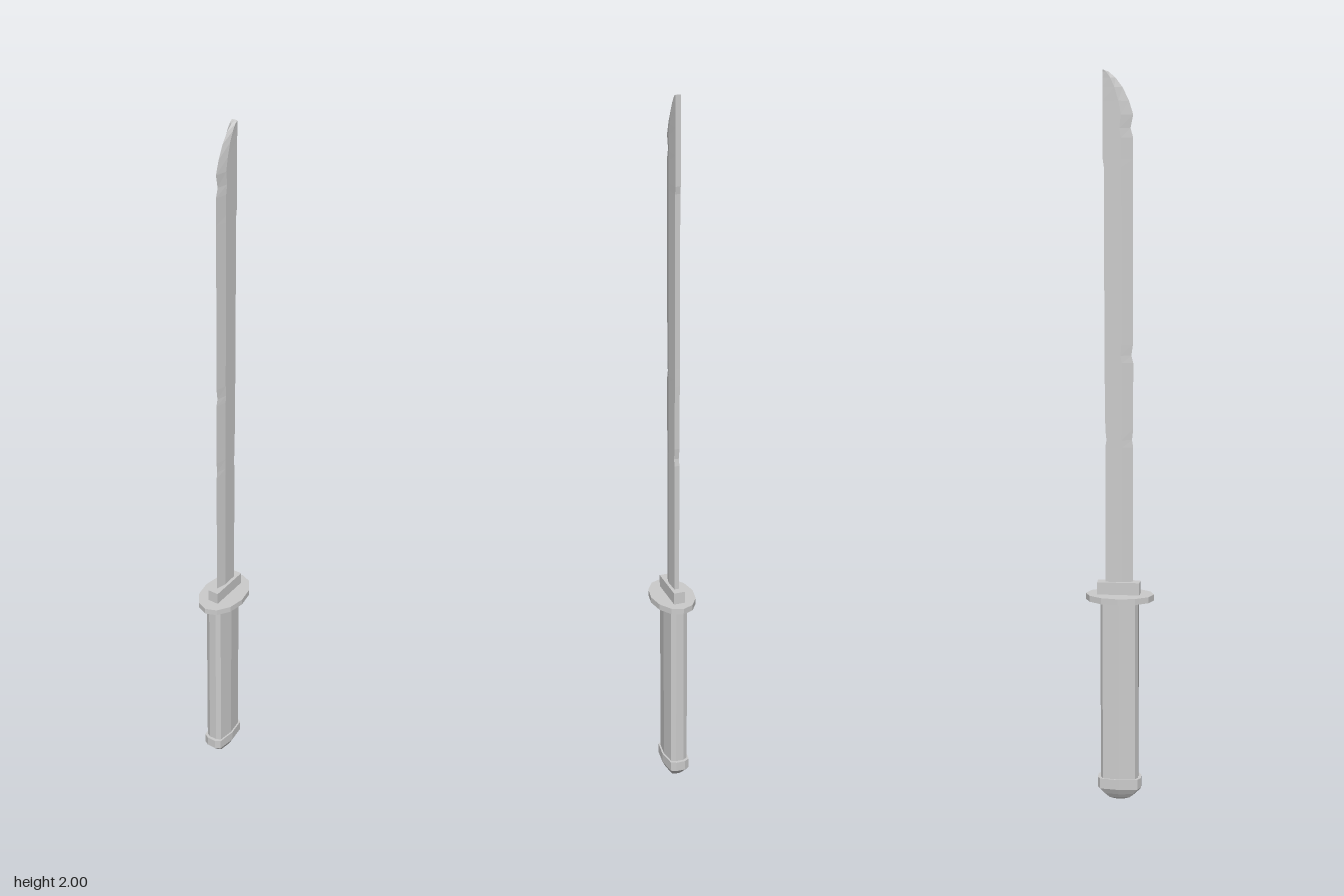
import * as THREE from 'three';

const material = new THREE.MeshStandardMaterial({ color: 0xcccccc, flatShading: true });

// Skins a stack of equal-sized rings (bottom to top, counter-clockwise from above) and caps both ends.
function loft(rings) {
  const n = rings[0].length;
  const positions = rings.flat(2);
  const index = [];
  for (let i = 0; i < rings.length - 1; i++) {
    for (let j = 0; j < n; j++) {
      const k = (j + 1) % n;
      const a = i * n + j, b = i * n + k, c = a + n, d = b + n;
      index.push(a, b, d, a, d, c);
    }
  }
  const top = (rings.length - 1) * n;
  for (let j = 1; j < n - 1; j++) {
    index.push(0, j + 1, j);
    index.push(top, top + j, top + j + 1);
  }
  const geometry = new THREE.BufferGeometry();
  geometry.setAttribute('position', new THREE.Float32BufferAttribute(positions, 3));
  geometry.setIndex(index);
  geometry.computeVertexNormals();
  return geometry;
}

// Flattened ten-sided grip section, shared by handle and pommel
const gripSection = [
  [0.03, 0], [0.024, -0.045], [0.011, -0.052], [-0.011, -0.052], [-0.024, -0.045],
  [-0.03, 0], [-0.024, 0.045], [-0.011, 0.052], [0.011, 0.052], [0.024, 0.045],
];
const gripRing = (y, sx, sz = sx) => gripSection.map(([x, z]) => [x * sx - 0.005, y, z * sz]);

// Blade section: flat spine at the back, widest past the middle, sharp front edge
function bladeRing([y, back, edge]) {
  const mid = back + (edge - back) * 0.6;
  return [[0.008, y, mid], [0.007, y, back], [-0.007, y, back], [-0.008, y, mid], [0, y, edge]];
}

export function createModel() {
  const group = new THREE.Group();
  const add = (name, geometry) => {
    const mesh = new THREE.Mesh(geometry, material);
    mesh.name = name;
    group.add(mesh);
    return mesh;
  };

  // Blade as [height, spine z, edge z], with worn nicks and a curved tip
  add('blade', loft([
    [0.61, -0.039, 0.036], [1.0, -0.039, 0.036], [1.02, -0.036, 0.033], [1.05, -0.039, 0.036],
    [1.23, -0.041, 0.036], [1.25, -0.041, 0.031], [1.28, -0.041, 0.035],
    [1.75, -0.042, 0.035], [1.77, -0.045, 0.035], [1.825, -0.045, 0.035],
    [1.85, -0.045, 0.028], [1.885, -0.045, 0.035], [1.92, -0.045, 0.024],
    [1.955, -0.045, 0.007], [1.98, -0.045, -0.012], [1.995, -0.045, -0.03], [2.0, -0.045, -0.043],
  ].map(bladeRing)));

  // Block where the blade enters the guard
  add('bladeCollar', new THREE.BoxGeometry(0.032, 0.04, 0.117)).position.set(0, 0.605, -0.003);

  // Twelve-sided oval guard
  const guard = add('guard', new THREE.CylinderGeometry(1, 1, 0.017, 12));
  guard.scale.set(0.062, 1, 0.094);
  guard.position.y = 0.582;

  // Handle and rounded pommel
  add('handle', loft([gripRing(0.055, 1), gripRing(0.575, 1)]));
  add('pommel', loft([
    gripRing(0, 0.25), gripRing(0.007, 0.6), gripRing(0.02, 0.88),
    gripRing(0.036, 1.16), gripRing(0.065, 1.16),
  ]));

  return group;
}
